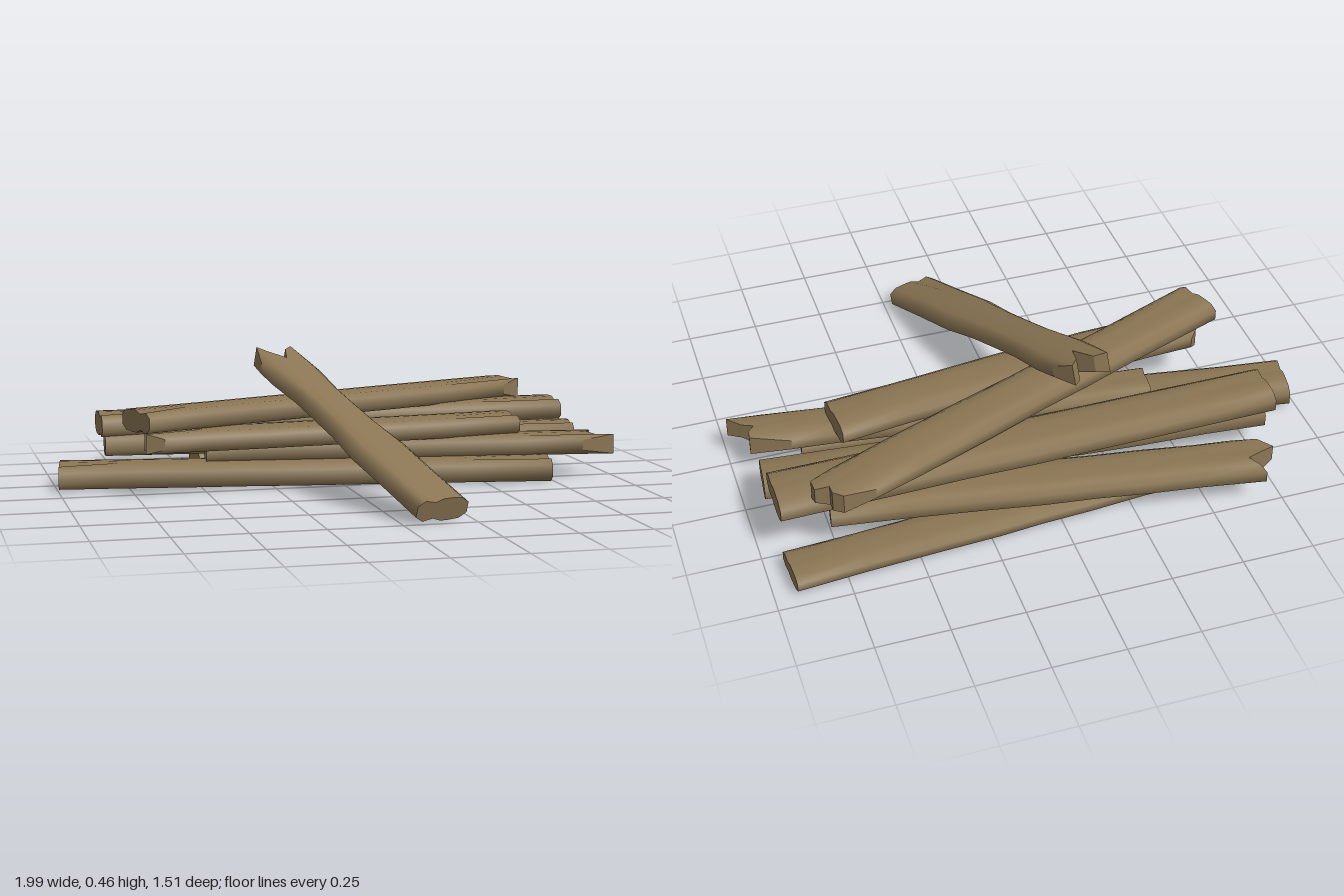
import * as THREE from 'three';

const wood = new THREE.MeshStandardMaterial({ color: 0x8b7654 });
wood.name = 'weathered wood';

// Columns across a plank: sideways position and half height (chamfered long edges)
const COLS = [-0.5, -0.36, -0.16, 0, 0.16, 0.36, 0.5];
const HALF = [0.24, 0.46, 0.5, 0.5, 0.5, 0.46, 0.24];
const STATIONS = [0, 0.12, 0.26, 0.38, 0.5, 0.64, 0.82, 1];
const SAWN = [0, 0, 0, 0, 0, 0, 0];
const WORN = [1, 0.96, 1, 0.97, 1.02, 0.98, 0.96, 1];

// One plank from centre a to centre b; jagA / jagB push each column outward at the ends
function plank(name, a, b, width, thick, { jagA = SAWN, jagB = SAWN, widths = WORN, bend = 0 } = {}) {
  const start = new THREE.Vector3(...a);
  const along = new THREE.Vector3(...b).sub(start);
  const length = along.length();
  along.normalize();
  const side = new THREE.Vector3().crossVectors(along, new THREE.Vector3(0, 1, 0)).normalize();
  const up = new THREE.Vector3().crossVectors(side, along);
  const n = COLS.length, ringSize = 2 * n;

  // Rings: across the top, then back along the underside
  const rings = STATIONS.map((u, s) => {
    const isEnd = s === 0 || s === STATIONS.length - 1;
    const ring = [];
    for (let j = 0; j < ringSize; j++) {
      const top = j < n, k = top ? j : ringSize - 1 - j;
      let d = u * length;
      if (s === 0) d -= jagA[k];
      if (s === STATIONS.length - 1) d += jagB[k];
      const split = isEnd && k === 4 ? 0.36 : HALF[k]; // crack in the end grain
      ring.push(start.clone()
        .addScaledVector(along, d)
        .addScaledVector(side, COLS[k] * width * widths[s] + bend * Math.sin(Math.PI * u))
        .addScaledVector(up, (top ? split : -split) * thick));
    }
    return ring;
  });

  const pos = [], index = [];
  const push = (p) => pos.push(p.x, p.y, p.z) / 3 - 1;

  // Smooth long faces
  rings.forEach((r) => r.forEach(push));
  for (let s = 0; s < rings.length - 1; s++) {
    for (let j = 0; j < ringSize; j++) {
      const p = s * ringSize + j, q = s * ringSize + (j + 1) % ringSize;
      index.push(p, q, p + ringSize, q, q + ringSize, p + ringSize);
    }
  }
  // End grain, one facet between each pair of columns
  [rings[0], rings[rings.length - 1]].forEach((r, end) => {
    for (let k = 0; k < n - 1; k++) {
      const [t0, t1, b0, b1] = [r[k], r[k + 1], r[ringSize - 1 - k], r[ringSize - 2 - k]].map(push);
      if (end) index.push(t0, t1, b0, t1, b1, b0);
      else index.push(t0, b0, t1, t1, b0, b1);
    }
  });

  const geo = new THREE.BufferGeometry();
  geo.setAttribute('position', new THREE.Float32BufferAttribute(pos, 3));
  geo.setIndex(index);
  geo.computeVertexNormals();
  const mesh = new THREE.Mesh(geo, wood);
  mesh.name = name;
  return mesh;
}

export function createModel() {
  const group = new THREE.Group();
  group.name = 'plankPile';
  group.add(
    // Ground layer
    plank('groundPlankFront', [-0.985, 0.045, -0.22], [0.745, 0.045, 0.035], 0.2, 0.088),
    plank('groundPlankBack', [-0.45, 0.038, -0.53], [0.93, 0.038, -0.625], 0.165, 0.06),
    // Second layer
    plank('secondPlankBack', [-0.66, 0.112, -0.655], [0.75, 0.112, -0.43], 0.18, 0.082,
      { jagA: [0.04, 0.02, -0.01, 0.05, 0.09, 0.04, -0.04] }),
    plank('secondPlankMiddle', [-0.8, 0.125, -0.41], [0.935, 0.125, -0.255], 0.16, 0.088,
      { widths: [1, 1, 1.12, 1.15, 1, 0.97, 0.97, 0.95] }),
    plank('secondPlankFront', [-0.47, 0.122, -0.18], [0.91, 0.122, -0.015], 0.16, 0.078,
      { jagB: [-0.12, 0.02, 0.02, 0, 0.04, 0.09, -0.03] }),
    // Third layer
    plank('thirdPlankBack', [-0.82, 0.195, -0.41], [0.93, 0.195, -0.43], 0.19, 0.085,
      { widths: [0.97, 0.98, 1, 1, 1.04, 1, 1.04, 1.06] }),
    plank('thirdPlankFront', [-0.67, 0.19, 0.015], [0.65, 0.19, -0.115], 0.19, 0.076,
      { jagA: [0, 0.03, 0.04, 0.01, 0.05, 0.06, 0], bend: 0.01 }),
    // Diagonal plank across the top
    plank('topPlank', [-0.75, 0.265, 0.045], [0.75, 0.265, -0.55], 0.185, 0.078,
      { jagB: [-0.1, 0.01, 0.03, 0.02, 0.06, 0.05, -0.04], widths: [1, 0.98, 0.95, 0.98, 0.95, 1, 1, 0.95] }),
    // Plank leaning on the front of the pile
    plank('leaningPlank', [-0.165, 0.41, -0.34], [0.135, 0.043, 0.73], 0.185, 0.08,
      { jagA: [-0.04, 0.05, 0.02, -0.05, 0.03, 0.06, -0.04], widths: [1.02, 1.05, 0.9, 0.9, 0.92, 1.08, 1.04, 1.04] }),
  );
  return group;
}
